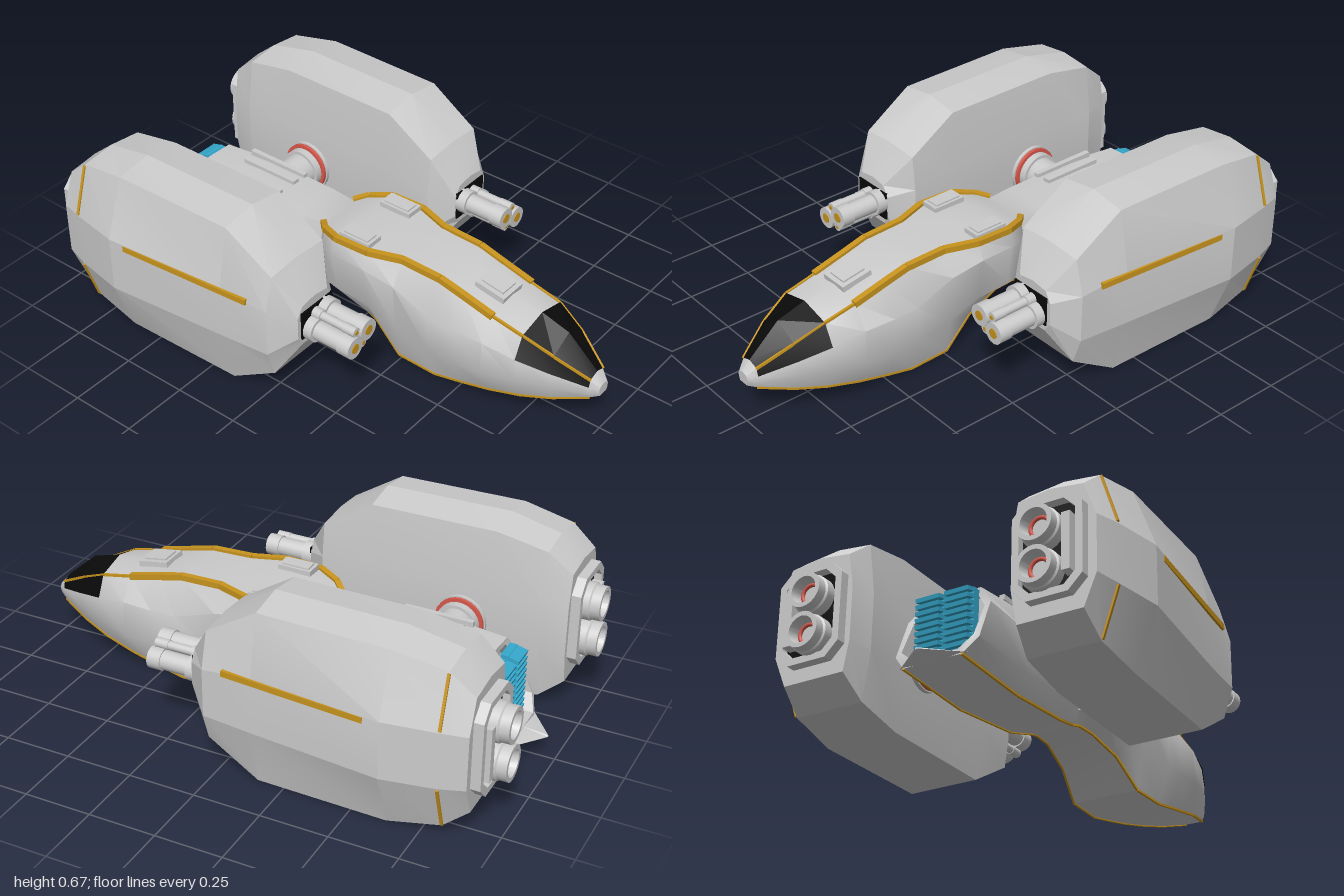
import * as THREE from 'three';
import { toCreasedNormals } from 'three/addons/utils/BufferGeometryUtils.js';

const mat = (color, side = THREE.FrontSide) => new THREE.MeshStandardMaterial({ color, side });
const GREY = mat(0xcccccc), GOLD = mat(0xc8941e), BLACK = mat(0x0a0a0a);
const RED = mat(0xd8584c), CYAN = mat(0x35a8cc), GLASS = mat(0x0a0a0a, THREE.DoubleSide);
const V = (x, y, z) => new THREE.Vector3(x, y, z);

function add(parent, name, geo, material, x = 0, y = 0, z = 0) {
  const m = new THREE.Mesh(geo, material);
  m.name = name;
  m.position.set(x, y, z);
  parent.add(m);
  return m;
}

// Skin through cross-sections; rings run top -> +z -> bottom -> -z
function loft(rings, { closed = true, crease = 0.4 } = {}) {
  const pos = [], n = rings[0].length;
  const tri = (...p) => p.forEach(v => pos.push(v.x, v.y, v.z));
  for (let i = 0; i < rings.length - 1; i++) {
    for (let j = 0; j < (closed ? n : n - 1); j++) {
      const k = (j + 1) % n, a = rings[i], b = rings[i + 1];
      tri(a[j], a[k], b[k]);
      tri(a[j], b[k], b[j]);
    }
  }
  if (closed) {
    [rings[0], rings[rings.length - 1]].forEach((r, end) => {
      const c = r.reduce((s, p) => s.add(p), V(0, 0, 0)).divideScalar(n);
      for (let j = 0; j < n; j++) {
        const k = (j + 1) % n;
        if (end) tri(c, r[j], r[k]); else tri(c, r[k], r[j]);
      }
    });
  }
  const g = new THREE.BufferGeometry();
  g.setAttribute('position', new THREE.Float32BufferAttribute(pos, 3));
  return toCreasedNormals(g, crease);
}

// Rectangular strip between two points
function bar(parent, name, a, b, h, w, material) {
  const m = add(parent, name, new THREE.BoxGeometry(w, h, a.distanceTo(b)), material);
  m.position.copy(a).add(b).multiplyScalar(0.5);
  m.lookAt(b);
}

const box = (w, h, d) => new THREE.BoxGeometry(w, h, d);
const rodX = (r, len, n = 20) => new THREE.CylinderGeometry(r, r, len, n).rotateZ(Math.PI / 2);
const rodZ = (r, len) => new THREE.CylinderGeometry(r, r, len, 28).rotateX(Math.PI / 2);

// Fuselage stations: x, then width and height of keel, lower side, upper side, deck edge; ridge height
const HULL = [
  [-0.88, .11, .08, .158, .14, .158, .29, .10, .37, .375],
  [-0.55, .11, .07, .147, .14, .147, .29, .11, .385, .39],
  [-0.25, .10, .10, .135, .16, .135, .30, .105, .385, .39],
  [-0.14, .08, .13, .105, .18, .105, .31, .085, .395, .40],
  [-0.10, .085, .14, .135, .19, .145, .34, .125, .41, .415],
  [-0.02, .09, .14, .16, .20, .182, .365, .16, .425, .435],
  [0.12, .11, .10, .165, .20, .19, .37, .16, .43, .435],
  [0.24, .13, .01, .155, .15, .172, .34, .12, .43, .432],
  [0.40, .135, .01, .18, .15, .18, .29, .118, .425, .43],
  [0.50, .132, .03, .182, .15, .182, .29, .116, .40, .41],
  [0.62, .125, .055, .18, .16, .175, .29, .115, .37, .39],
  [0.74, .11, .083, .152, .175, .15, .265, .112, .345, .373],
  [0.85, .08, .11, .108, .175, .108, .235, .085, .295, .342],
  [0.97, .035, .147, .046, .17, .046, .195, .038, .225, .237],
  [1.00, .02, .16, .026, .175, .026, .19, .02, .2, .205],
];

function hullRing([x, wk, yk, wl, yl, wu, yu, wd, yd, yr]) {
  const side = [[wd, yd], [wu, yu], [wl, yl], [wk, yk]];
  return [V(x, yr, 0), ...side.map(([w, y]) => V(x, y, w)), ...side.reverse().map(([w, y]) => V(x, y, -w))];
}

function buildFuselage(root) {
  const g = new THREE.Group();
  g.name = 'fuselage';
  root.add(g);
  const rings = HULL.map(hullRing);
  // Slanted tail rim with a recess behind it
  rings[0].forEach(p => { p.x += (p.y - .08) * .4; });
  const inset = rings[0].map(p => V(p.x, .225 + (p.y - .225) * .86, p.z * .86));
  const deep = inset.map(p => V(-.73, p.y, p.z));
  add(g, 'hull', loft([deep, inset, ...rings], { crease: 0.6 }), GREY);

  // Windscreen wrapped over the nose
  const glass = rings.slice(11, 14).map(r => [r[7], r[8], r[0], r[1], r[2]].map(p => V(p.x, p.y + .003, p.z * 1.025)));
  add(g, 'windscreen', loft(glass, { closed: false, crease: 0.2 }), GLASS);

  for (const s of [1, -1]) {
    const at = (i, j) => V(rings[i][j].x, rings[i][j].y, s * rings[i][j].z);
    for (let i = 3; i < 13; i++) {
      const t = i < 10 ? .022 : .009;
      bar(g, 'deckTrim', at(i, 1), at(i + 1, 1), t, t, GOLD);
    }
    for (let i = 0; i < 13; i++) bar(g, 'keelTrim', at(i, 4), at(i + 1, 4), .008, .008, GOLD);
    add(g, 'deckHatch', box(.13, .025, .07), GREY, .05, .437, s * .115);
    add(g, 'deckHatchLid', box(.105, .012, .05), GREY, .05, .449, s * .115);
    add(g, 'rearRail', box(.26, .02, .02), GREY, -.51, .39, s * .1);
    add(g, 'rearPanel', box(.24, .016, .03), GREY, -.5, .394, s * .045);
    // Tail cooling grille
    for (let i = 0; i < 10; i++) {
      const slat = add(g, 'grilleSlat', box(.055, .014, .09), CYAN, -.815, .125 + i * .024, s * .055);
      slat.rotation.z = .25;
    }
    add(g, 'grilleBack', box(.03, .24, .09), CYAN, -.79, .233, s * .055);
  }
  const hatch = add(g, 'noseHatch', box(.12, .022, .11), GREY, .56, .404, 0);
  hatch.rotation.z = -.17;
  const lid = add(g, 'noseHatchLid', box(.09, .012, .075), GREY, .56, .416, 0);
  lid.rotation.z = -.17;

  // Pointed tail lip
  const lip = [[-.97, .003, .004], [-.87, .012, .13]].map(([x, h, w]) =>
    [V(x, .087 + h, 0), V(x, .085, w), V(x, .085 - h, 0), V(x, .085, -w)]);
  add(g, 'tailLip', loft(lip), GREY);
}

// Pod stations: x, bottom, lower side, upper side, shoulder, ridge, outer z, inner z, outer top z, inner top z
const POD = [
  [-0.91, .11, .22, .42, .54, .555, .605, .305, .56, .325],
  [-0.82, .035, .215, .425, .615, .63, .63, .285, .57, .31],
  [-0.63, 0, .215, .43, .65, .67, .665, .285, .585, .31],
  [-0.15, 0, .215, .425, .65, .67, .62, .285, .575, .305],
  [0.04, .115, .22, .40, .53, .54, .605, .292, .57, .305],
  [0.12, .25, .285, .37, .41, .42, .535, .355, .51, .38],
];

function podRing([x, yb, yl, yu, ys, yr, zo, zi, to, ti], s) {
  const r = [V(x, yr, (to + ti) / 2), V(x, ys, to), V(x, yu, zo), V(x, yl, zo), V(x, yb, to),
    V(x, yb, ti), V(x, yl, zi), V(x, yu, zi), V(x, ys, ti)];
  r.forEach(p => { p.z *= s; });
  return s > 0 ? r : r.reverse();
}

function octagon(w, h, c) {
  return [[-w, c - h], [c - w, -h], [w - c, -h], [w, c - h], [w, h - c], [w - c, h], [c - w, h], [-w, h - c]]
    .map(p => new THREE.Vector2(...p));
}

function buildPod(root, s) {
  const g = new THREE.Group();
  g.name = s > 0 ? 'leftPod' : 'rightPod';
  root.add(g);
  add(g, 'podShell', loft(POD.map(r => podRing(r, s)), { crease: 0.2 }), GREY);

  // Gold side rail and rear bands
  bar(g, 'sideRail', V(-.57, .415, s * .652), V(-.04, .415, s * .61), .022, .02, GOLD);
  bar(g, 'rearBand', V(-.82, .43, s * .629), V(-.82, .61, s * .572), .01, .01, GOLD);
  bar(g, 'rearBand', V(-.82, .21, s * .629), V(-.82, .04, s * .572), .01, .01, GOLD);

  // Engine frame with two nozzles
  const shape = new THREE.Shape(octagon(.125, .175, .05));
  shape.holes.push(new THREE.Path(octagon(.1, .15, .04).reverse()));
  const frame = new THREE.ExtrudeGeometry(shape, { depth: .04, bevelEnabled: false }).rotateY(Math.PI / 2);
  add(g, 'engineFrame', frame, GREY, -.945, .335, s * .45);
  add(g, 'engineBay', box(.01, .29, .2), BLACK, -.913, .335, s * .45);
  const profile = [[.058, 0], [.07, .015], [.07, .05], [.064, .055], [.064, .09], [.048, .09], [.04, .045], [0, .045]]
    .map(p => new THREE.Vector2(...p));
  for (const y of [.25, .395]) {
    const nozzle = toCreasedNormals(new THREE.LatheGeometry(profile, 24).rotateZ(Math.PI / 2), .5);
    add(g, 'nozzle', nozzle, GREY, -.91, y, s * .435);
    add(g, 'nozzleGlow', new THREE.TorusGeometry(.034, .007, 8, 24).rotateY(Math.PI / 2), RED, -.958, y, s * .435);
  }
  add(g, 'engineStrut', box(.05, .2, .03), GREY, -.935, .325, s * .525);

  // Gun cluster: y, z, radius, length
  add(g, 'gunMount', box(.012, .11, .16), BLACK, .12, .33, s * .44);
  for (const [y, z, r, len] of [[.305, .472, .04, .2], [.34, .4, .04, .2], [.29, .418, .018, .19], [.355, .452, .018, .19]]) {
    add(g, 'gunBarrel', rodX(r * .88, len), GREY, .115 + len / 2, y, s * z);
    add(g, 'gunCollar', rodX(r * 1.15, .04), GREY, .14, y, s * z);
    add(g, 'muzzleRing', rodX(r, .05), GREY, .09 + len, y, s * z);
    add(g, 'muzzleCore', rodX(r * .45, .008), GOLD, .114 + len, y, s * z);
  }

  // Pylon joining the pod to the fuselage
  add(g, 'pylon', rodZ(.068, .2), GREY, -.52, .285, s * .2);
  add(g, 'pylonCollar', rodZ(.08, .04), GREY, -.52, .285, s * .252);
  add(g, 'pylonSeal', rodZ(.093, .014), RED, -.52, .285, s * .267);
  add(g, 'pylonFlange', rodZ(.098, .02), GREY, -.52, .285, s * .282);
}

export function createModel() {
  const root = new THREE.Group();
  root.name = 'twinPodSpacecraft';
  buildFuselage(root);
  buildPod(root, 1);
  buildPod(root, -1);
  return root;
}
